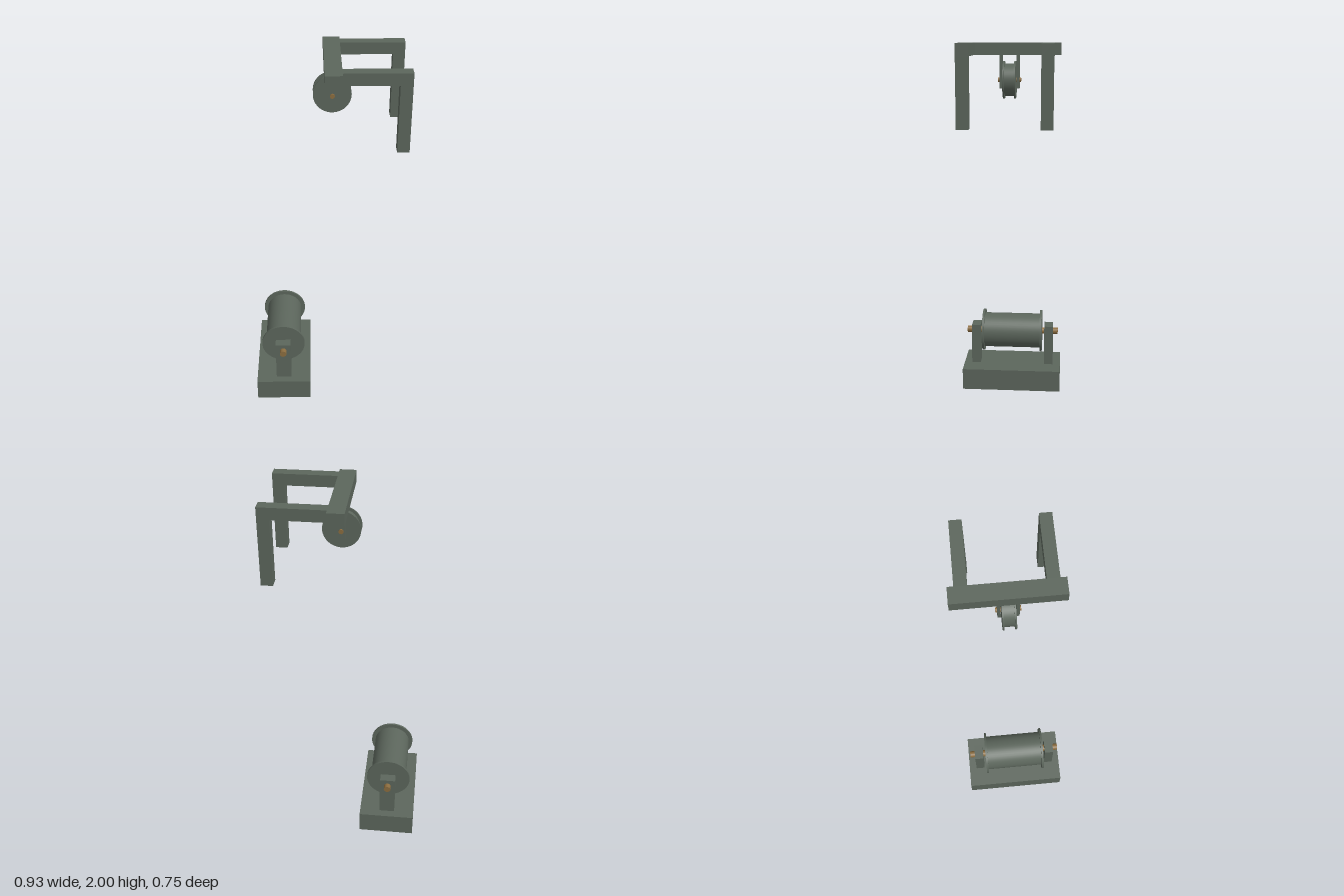
import * as THREE from 'three';

const steel = new THREE.MeshStandardMaterial({ color: 0x5c665c });
const brass = new THREE.MeshStandardMaterial({ color: 0x8c6d3f });

function box(parent, name, w, h, d, x, y, z) {
  const m = new THREE.Mesh(new THREE.BoxGeometry(w, h, d), steel);
  m.name = name;
  m.position.set(x, y, z);
  parent.add(m);
}

// Cylinder lying along z
function roller(parent, name, radius, length, x, y, z, material = steel) {
  const m = new THREE.Mesh(new THREE.CylinderGeometry(radius, radius, length, 48).rotateX(Math.PI / 2), material);
  m.name = name;
  m.position.set(x, y, z);
  parent.add(m);
}

export function createModel() {
  const model = new THREE.Group();
  model.name = 'hoist';
  const winch = new THREE.Group();
  winch.name = 'winch';
  const gantry = new THREE.Group();
  gantry.name = 'gantry';
  model.add(winch, gantry);

  // Both assemblies share one turned frame, with the winch base at its origin
  for (const g of [winch, gantry]) {
    g.position.set(-0.23, 0, 0.057);
    g.rotation.y = THREE.MathUtils.degToRad(18.6);
  }

  // Winch: base, drum and axle
  box(winch, 'base', 0.309, 0.124, 0.569, 0, 0.062, 0);
  roller(winch, 'drum', 0.101, 0.33, 0, 0.32, 0);
  roller(winch, 'drumAxle', 0.019, 0.538, 0, 0.32, 0, brass);

  // Gantry: cross beam and pulley
  const bx = 0.278, py = 1.809;
  box(gantry, 'crossBeam', 0.0855, 0.062, 0.535, bx, 1.969, 0);
  roller(gantry, 'pulleyCore', 0.083, 0.06, bx, py, 0);
  roller(gantry, 'pulleyAxle', 0.012, 0.12, bx, py, 0, brass);

  for (const s of [-1, 1]) {
    roller(winch, 'drumFlange', 0.123, 0.012, 0, 0.32, s * 0.169);
    box(winch, 'bearingPost', 0.086, 0.24, 0.051, 0, 0.24, s * 0.215);

    roller(gantry, 'pulleyFlange', 0.097, 0.008, bx, py, s * 0.029);
    box(gantry, 'pulleyHanger', 0.039, 0.18, 0.016, bx, 1.855, s * 0.044);

    // Arm out from the beam and the leg under its end
    box(gantry, 'arm', 0.334, 0.062, 0.061, 0.487, 1.969, s * 0.207);
    box(gantry, 'leg', 0.061, 0.35, 0.061, 0.6235, 1.763, s * 0.207);
  }
  return model;
}
